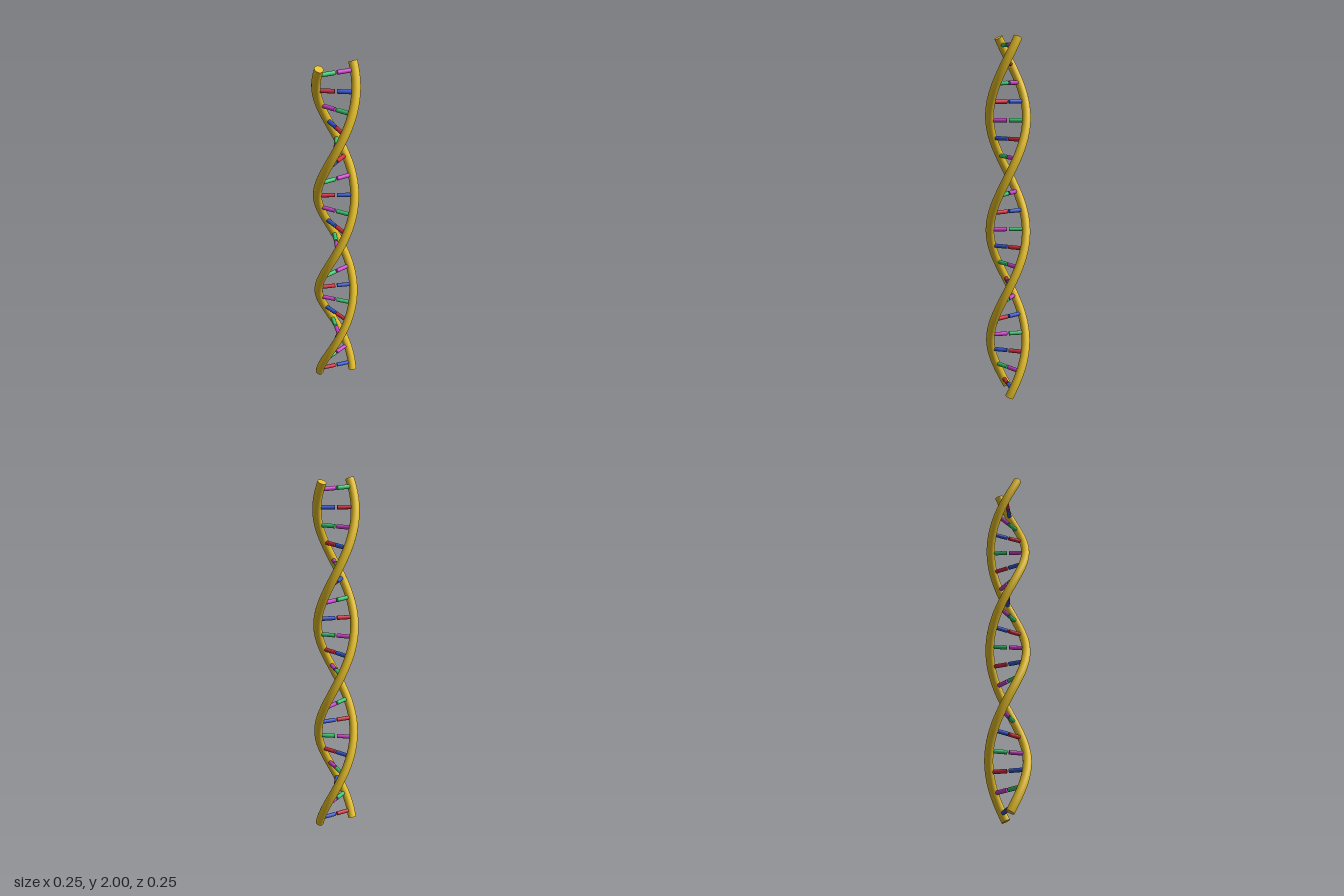
import * as THREE from 'three';

const HELIX_R = 0.1;      // centre line radius of a strand
const STRAND_R = 0.0235;
const TWIST = 5;          // radians per unit of height
const Y0 = 0.01, Y1 = 1.99;
const RUNGS = 20;

const angleAt = (y) => TWIST * y - 0.5;

class Helix extends THREE.Curve {
  constructor(offset) {
    super();
    this.offset = offset;
  }
  getPoint(t, target = new THREE.Vector3()) {
    const y = THREE.MathUtils.lerp(Y0, Y1, t);
    const a = angleAt(y) + this.offset;
    return target.set(HELIX_R * Math.cos(a), y, -HELIX_R * Math.sin(a));
  }
}

const paint = (color) => new THREE.MeshStandardMaterial({ color });

// One backbone: a round tube along a helix, closed by a flat disc at each end
function makeStrand(name, offset, material) {
  const strand = new THREE.Group();
  strand.name = name;
  const curve = new Helix(offset);
  const tube = new THREE.Mesh(new THREE.TubeGeometry(curve, 200, STRAND_R, 24), material);
  tube.name = 'strandTube';
  strand.add(tube);
  for (const t of [0, 1]) {
    const cap = new THREE.Mesh(new THREE.CircleGeometry(STRAND_R, 24), material);
    cap.name = 'strandEnd';
    const outward = curve.getTangent(t).multiplyScalar(t === 0 ? -1 : 1);
    cap.position.copy(curve.getPoint(t));
    cap.quaternion.setFromUnitVectors(new THREE.Vector3(0, 0, 1), outward);
    strand.add(cap);
  }
  return strand;
}

export function createModel() {
  const model = new THREE.Group();
  model.name = 'doubleHelix';

  const gold = paint(0xe6bf28);
  model.add(makeStrand('firstStrand', 0, gold));
  model.add(makeStrand('secondStrand', Math.PI, gold));

  // Paired rungs: each half reaches from near the axis into its strand
  const blue = paint(0x3558d0), red = paint(0xd03040);
  const magenta = paint(0xcc44cc), green = paint(0x3cc870);
  const pairs = [[blue, red], [magenta, green], [red, blue], [green, magenta]];
  const inner = 0.006, outer = 0.088;
  const halfRung = new THREE.CylinderGeometry(0.0115, 0.0115, outer - inner, 16);
  halfRung.rotateZ(Math.PI / 2);
  halfRung.translate((inner + outer) / 2, 0, 0);

  for (let i = 0; i < RUNGS; i++) {
    const y = 0.05 + 0.1 * i;
    const rung = new THREE.Group();
    rung.name = 'rung';
    rung.position.y = y;
    rung.rotation.y = angleAt(y);
    pairs[i % 4].forEach((material, side) => {
      const half = new THREE.Mesh(halfRung, material);
      half.name = side === 0 ? 'firstHalfRung' : 'secondHalfRung';
      half.rotation.y = side * Math.PI;
      rung.add(half);
    });
    model.add(rung);
  }
  return model;
}
